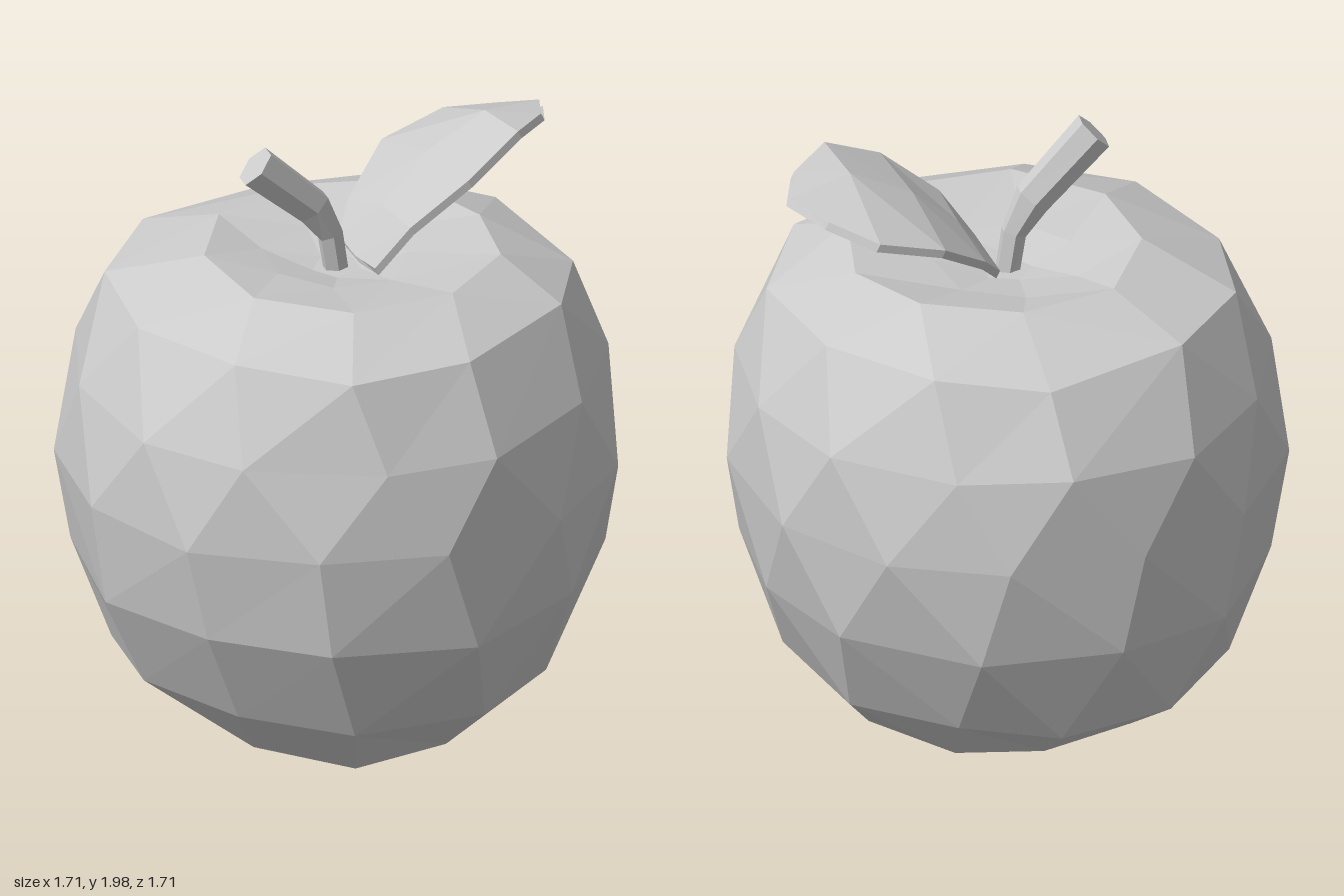
import * as THREE from 'three';

const V = (x, y, z) => new THREE.Vector3(x, y, z);

// Skin a stack of closed loops { pts, phase } (point counts may differ) and cap both ends
function loft(name, loops, material) {
  const pos = [];
  const tri = (...p) => p.forEach((q) => pos.push(q.x, q.y, q.z));
  const at = (l, i) => l.pts[i % l.pts.length];
  const t = (l, i) => (i + (l.phase || 0)) / l.pts.length;
  for (let k = 0; k + 1 < loops.length; k++) {
    const a = loops[k], b = loops[k + 1];
    let i = 0, j = 0;
    while (i < a.pts.length || j < b.pts.length) {
      const stepA = j >= b.pts.length || (i < a.pts.length && t(a, i + 1) <= t(b, j + 1));
      if (stepA) { tri(at(a, i), at(b, j), at(a, i + 1)); i++; }
      else { tri(at(a, i), at(b, j), at(b, j + 1)); j++; }
    }
  }
  const cap = (l, flip) => {
    const c = l.pts.reduce((s, p) => s.add(p), V(0, 0, 0)).divideScalar(l.pts.length);
    l.pts.forEach((p, i) => (flip ? tri(c, at(l, i + 1), p) : tri(c, p, at(l, i + 1))));
  };
  cap(loops[0], false);
  cap(loops[loops.length - 1], true);
  const g = new THREE.BufferGeometry();
  g.setAttribute('position', new THREE.Float32BufferAttribute(pos, 3));
  g.computeVertexNormals();
  const mesh = new THREE.Mesh(g, material);
  mesh.name = name;
  return mesh;
}

export function createModel() {
  const group = new THREE.Group();
  group.name = 'apple';
  const mat = new THREE.MeshStandardMaterial({ color: 0xcccccc, flatShading: true });

  let seed = 11;
  const jitter = (s) => {
    seed = (seed * 16807) % 2147483647;
    return (seed / 2147483647 - 0.5) * 2 * s;
  };

  // Body: irregular faceted rings from the flat base over the rim into the dimple
  // [radius, height, sides, phase, centre x, centre z, jitter]
  const rings = [
    [0.25, 0.005, 6, 0.2, -0.02, 0.02, 0],
    [0.47, 0.08, 9, 0.6, 0, 0, 0.02],
    [0.67, 0.27, 11, 0.1, 0, -0.01, 0.02],
    [0.82, 0.6, 12, 0.6, 0, 0, 0.015],
    [0.865, 0.93, 13, 0.1, 0, 0, 0.01],
    [0.83, 1.22, 13, 0.6, 0, 0, 0.015],
    [0.71, 1.49, 11, 0.2, 0, 0.02, 0.02],
    [0.46, 1.61, 9, 0.7, 0.04, 0.03, 0.01],
    [0.23, 1.56, 7, 0.2, 0, 0, 0.01],
    [0.08, 1.53, 5, 0.5, 0, 0, 0],
  ];
  group.add(loft('body', rings.map(([r, y, n, phase, cx, cz, j]) => ({
    phase,
    pts: Array.from({ length: n }, (_, i) => {
      const a = ((i + phase) / n) * Math.PI * 2 + jitter(j * 3);
      const rr = r + jitter(j);
      return V(cx + rr * Math.cos(a), y + jitter(j * 1.2), cz + rr * Math.sin(a));
    }),
  })), mat));

  // Stem: six-sided, bent outwards and thicker at the cut end
  // [x, y, z, radius, lean from vertical]
  const stem = [
    [0, 1.5, 0, 0.04, 0.1],
    [-0.025, 1.65, 0.01, 0.042, 0.35],
    [-0.085, 1.755, 0.02, 0.062, 0.7],
    [-0.285, 1.945, 0.06, 0.07, 0.82],
  ];
  group.add(loft('stem', stem.map(([x, y, z, r, lean]) => ({
    pts: Array.from({ length: 6 }, (_, i) => {
      const a = (i / 6) * Math.PI * 2;
      const s = r * Math.sin(a);
      return V(x - s * Math.cos(lean), y - s * Math.sin(lean), z + r * 0.8 * Math.cos(a));
    }),
  })), mat));

  // Leaf: thin arched blade; each row is front edge, midline, back edge
  const rows = [
    [[0.07, 1.58, 0.15], [0.05, 1.57, 0.03], [0.04, 1.58, -0.1]],
    [[0.17, 1.72, 0.19], [0.15, 1.71, 0], [0.1, 1.66, -0.18]],
    [[0.35, 1.86, 0.21], [0.3, 1.85, -0.04], [0.25, 1.78, -0.3]],
    [[0.54, 1.96, 0.13], [0.5, 1.95, -0.06], [0.46, 1.84, -0.33]],
    [[0.66, 1.94, 0], [0.7, 1.92, -0.13], [0.6, 1.88, -0.23]],
  ];
  group.add(loft('leaf', rows.map((row) => {
    const top = row.map((p) => V(...p));
    const under = top.map((p) => p.clone().add(V(0.012, -0.025, 0))).reverse();
    return { pts: [...top, ...under] };
  }), mat));

  return group;
}
